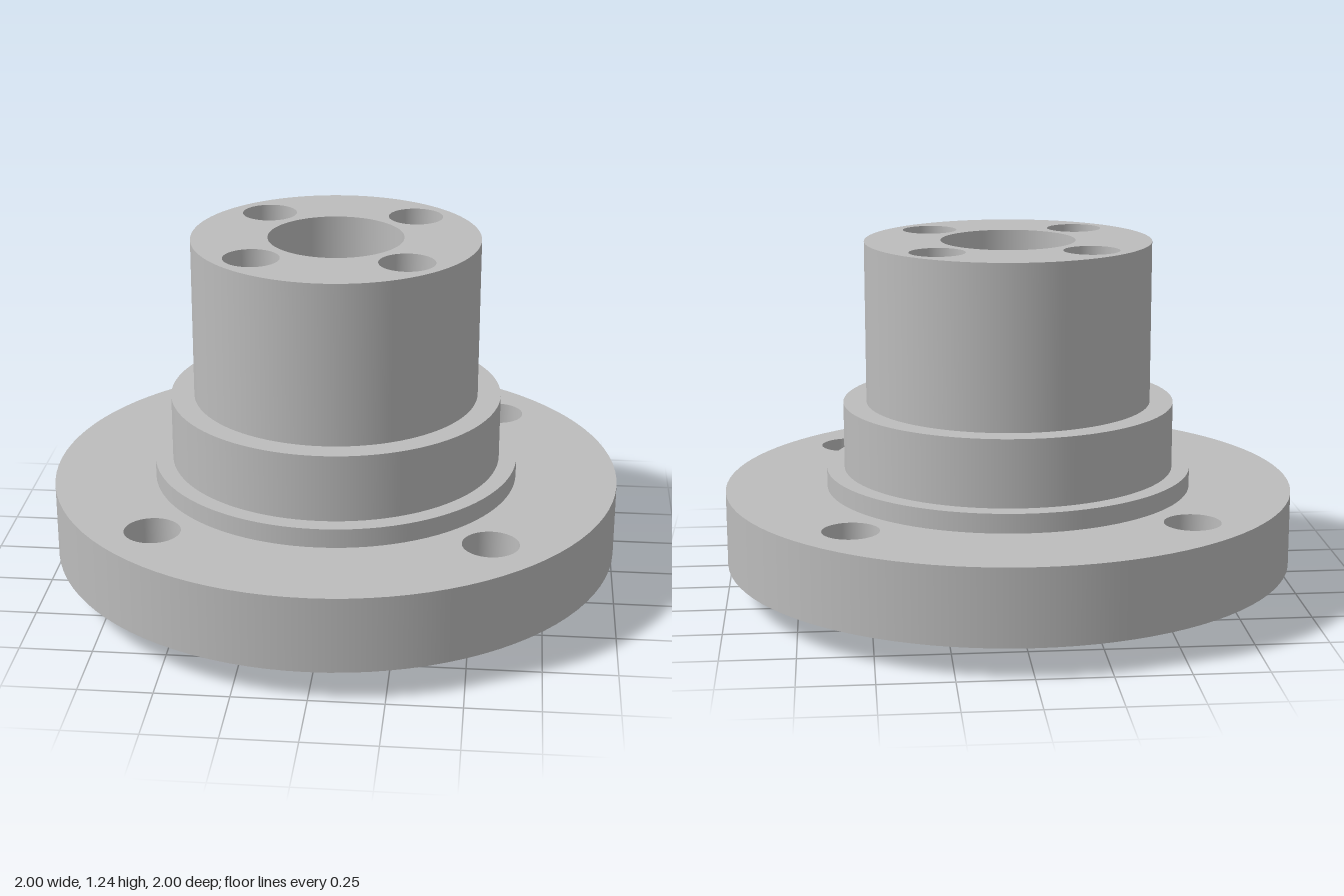
import * as THREE from 'three';

const SEG = 96;

export function createModel() {
  const model = new THREE.Group();
  model.name = 'flangedHub';
  const steel = new THREE.MeshStandardMaterial({ color: 0xbcbcbc });
  steel.name = 'steel grey';

  const add = (geometry, name) => {
    const mesh = new THREE.Mesh(geometry, steel);
    mesh.name = name;
    model.add(mesh);
  };

  // Cylindrical wall; running from a higher y to a lower one makes it face inward.
  const wall = (name, r, from, to, x = 0, z = 0) => {
    const points = [new THREE.Vector2(r, from), new THREE.Vector2(r, to)];
    add(new THREE.LatheGeometry(points, SEG).translate(x, 0, z), name);
  };

  // Flat round face with circular holes, each [x, z, radius].
  const face = (name, y, r, holes = [], up = true, x = 0, z = 0) => {
    const shape = new THREE.Shape().absarc(0, 0, r, 0, Math.PI * 2);
    for (const [hx, hz, hr] of holes) {
      shape.holes.push(new THREE.Path().absarc(hx, up ? -hz : hz, hr, 0, Math.PI * 2, true));
    }
    const geometry = new THREE.ShapeGeometry(shape, SEG / 2);
    geometry.rotateX(up ? -Math.PI / 2 : Math.PI / 2).translate(x, y, z);
    add(geometry, name);
  };

  const corners = (d, r) => [[d, d, r], [-d, d, r], [-d, -d, r], [d, -d, r]];
  const bolts = corners(0.567, 0.096);
  const screws = corners(0.26, 0.096);
  const bore = [0, 0, 0.235];
  const pin = [0.66, 0, 0.066];

  // Heights of the steps
  const yFlange = 0.104, yRing = 0.369, yCollar = 0.436, yBarrel = 0.671, yTop = 1.238;

  // Locating boss below the flange
  face('bossBottom', 0, 0.333, [bore], false);
  wall('bossWall', 0.333, 0, yFlange);

  // Flange plate
  face('flangeBottom', yFlange, 1, [[0, 0, 0.333], ...bolts, pin], false);
  wall('flangeRim', 1, yFlange, yRing);
  face('flangeTop', yRing, 1, [[0, 0, 0.643], ...bolts]);

  // Raised ring, collar and barrel
  wall('ringWall', 0.643, yRing, yCollar);
  face('ringTop', yCollar, 0.643, [[0, 0, 0.581]]);
  wall('collarWall', 0.581, yCollar, yBarrel);
  face('collarTop', yBarrel, 0.581, [[0, 0, 0.5]]);
  wall('barrelWall', 0.5, yBarrel, yTop);
  face('barrelTop', yTop, 0.5, [bore, ...screws]);

  // Through bore and bolt holes
  wall('centreBore', bore[2], yTop, 0);
  for (const [x, z, r] of bolts) wall('boltHole', r, yRing, yFlange, x, z);

  // Blind screw holes in the barrel top
  const yScrew = yTop - 0.4;
  for (const [x, z, r] of screws) {
    wall('screwHole', r, yTop, yScrew, x, z);
    face('screwHoleFloor', yScrew, r, [], true, x, z);
  }

  // Blind pin hole in the flange underside
  const yPin = yFlange + 0.16;
  wall('pinHole', pin[2], yPin, yFlange, pin[0], pin[1]);
  face('pinHoleEnd', yPin, pin[2], [], false, pin[0], pin[1]);

  return model;
}
